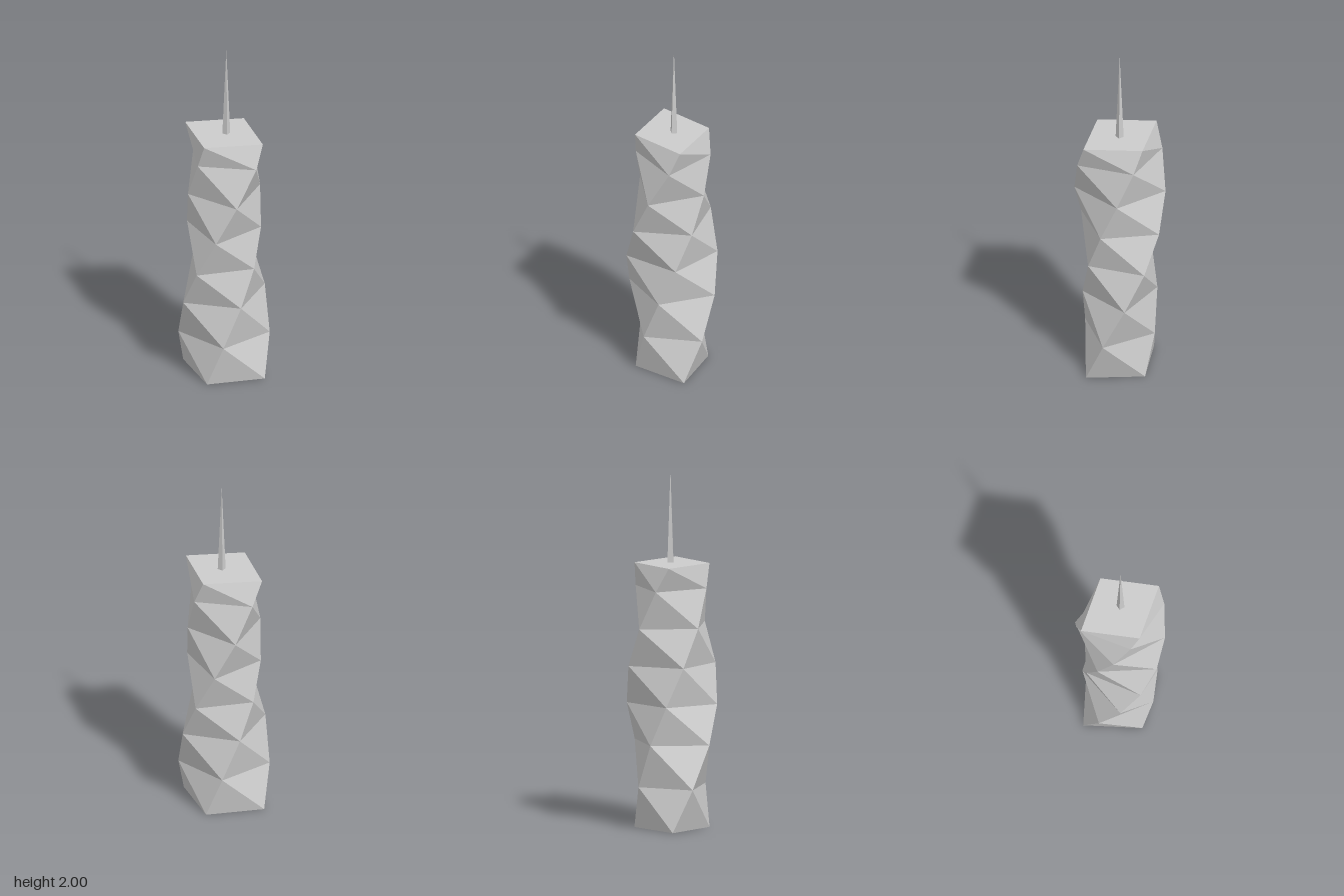
import * as THREE from 'three';

// Faceted mesh from a list of triangles, each a trio of points
function facetMesh(name, triangles) {
  const geometry = new THREE.BufferGeometry().setFromPoints(triangles.flat());
  geometry.computeVertexNormals();
  const material = new THREE.MeshStandardMaterial({
    color: 0xcccccc, flatShading: true, side: THREE.DoubleSide,
  });
  const mesh = new THREE.Mesh(geometry, material);
  mesh.name = name;
  return mesh;
}

// Four corners of a floor: a rhombus with a long and a short diagonal
function floorCorners({ y, angle, shift = 0 }) {
  return [0.253, 0.208, 0.253, 0.208].map((radius, k) => {
    const a = THREE.MathUtils.degToRad(angle + 90 * k);
    return new THREE.Vector3(shift + radius * Math.cos(a), y, radius * Math.sin(a));
  });
}

export function createModel() {
  const group = new THREE.Group();
  group.name = 'twistedTower';

  // Floors turn steadily towards the roof
  const floors = [
    { y: 0, angle: 220 },
    { y: 0.235, angle: 194 },
    { y: 0.475, angle: 166.2 },
    { y: 0.692, angle: 139.8 },
    { y: 0.91, angle: 113.2 },
    { y: 1.127, angle: 86.8 },
    { y: 1.342, angle: 60.5, shift: 0.008 },
    { y: 1.477, angle: 45 },
  ].map(floorCorners);

  // Walls: two triangles per side between neighbouring floors, open below
  const walls = [];
  for (let i = 0; i < floors.length - 1; i++) {
    const low = floors[i], high = floors[i + 1];
    for (let k = 0; k < 4; k++) {
      const j = (k + 3) % 4;
      walls.push([high[k], low[k], low[j]], [high[k], low[j], high[j]]);
    }
  }
  group.add(facetMesh('towerWalls', walls));

  // Flat roof
  const [a, b, c, d] = floors[floors.length - 1];
  group.add(facetMesh('roof', [[a, d, c], [a, c, b]]));

  // Slender four-sided spire
  const spire = new THREE.Mesh(
    new THREE.ConeGeometry(0.0225, 0.523, 4),
    new THREE.MeshStandardMaterial({ color: 0xcccccc, flatShading: true })
  );
  spire.name = 'spire';
  spire.position.set(0.013, 1.477 + 0.523 / 2, 0);
  group.add(spire);

  return group;
}
